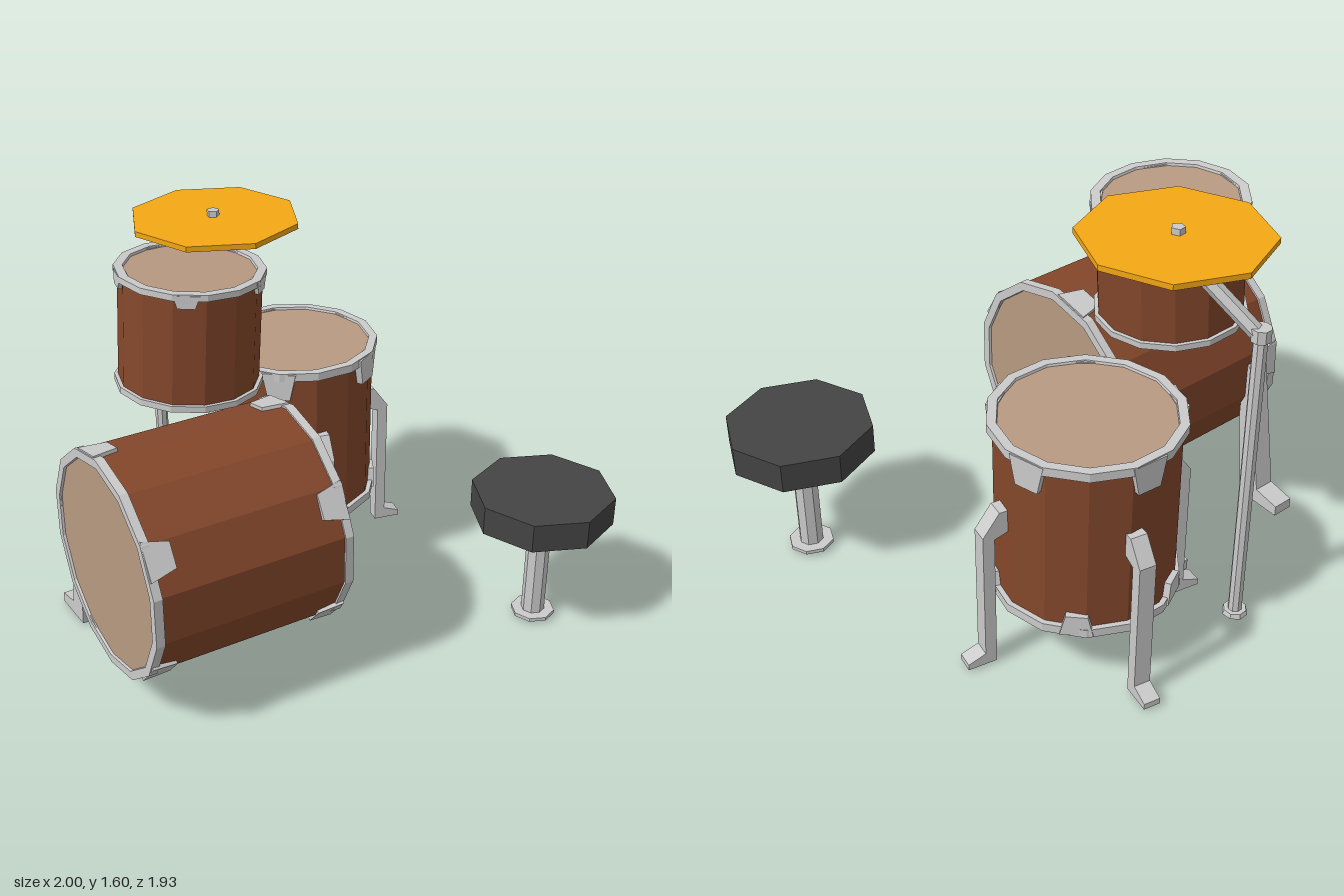
import * as THREE from 'three';

const RAD = Math.PI / 180;
const mat = (color) => new THREE.MeshStandardMaterial({ color, flatShading: true, side: THREE.DoubleSide });
const METAL = mat(0xcccccc);
const WOOD = mat(0x84472b);
const SKIN = mat(0xb89a82);
const BRASS = mat(0xf5a814);
const LEATHER = mat(0x444444);

function add(parent, name, geometry, material, x = 0, y = 0, z = 0) {
  const mesh = new THREE.Mesh(geometry, material);
  mesh.name = name;
  mesh.position.set(x, y, z);
  parent.add(mesh);
  return mesh;
}

function group(parent, name, x = 0, y = 0, z = 0) {
  const g = new THREE.Group();
  g.name = name;
  g.position.set(x, y, z);
  parent.add(g);
  return g;
}

const shapeOf = (pts) => new THREE.Shape(pts.map(([x, y]) => new THREE.Vector2(x, y)));
const cyl = (rTop, rBottom, h, sides) => new THREE.CylinderGeometry(rTop, rBottom, h, sides);

// One end of a drum: hoop, recessed head and five clamps hanging over the shell
function drumEnd(parent, name, { r, shellR, h, hoop, head, clampAngle, clamp }) {
  const end = group(parent, name);
  const top = h / 2;
  const profile = [[shellR - 0.01, top - hoop], [r, top - hoop], [r, top],
    [r - 0.035, top], [r - 0.04, top - 0.02]].map(([x, y]) => new THREE.Vector2(x, y));
  add(end, 'hoop', new THREE.LatheGeometry(profile, 14), METAL);
  add(end, 'head', cyl(r - 0.03, r - 0.03, 0.01, 14), head, 0, top - 0.015, 0);
  if (clamp) {
    const [w, drop] = clamp;
    const geo = new THREE.ExtrudeGeometry(
      shapeOf([[-w / 2, -0.005], [-w * 0.33, -drop], [w * 0.33, -drop], [w / 2, -0.005]]),
      { depth: 0.04, bevelEnabled: false });
    geo.translate(0, top, r - 0.045);
    for (let i = 0; i < 5; i++) {
      add(end, 'clamp', geo, METAL).rotation.y = (clampAngle + i * 72) * RAD;
    }
  }
  return end;
}

// Drum along y, centred on its own origin
function drum(parent, name, o) {
  const g = group(parent, name);
  add(g, 'shell', new THREE.CylinderGeometry(o.shellR, o.shellR, o.h - 0.03, 14, 1, true), WOOD);
  drumEnd(g, 'topEnd', { ...o, head: SKIN, clampAngle: o.topAngle });
  const bottom = drumEnd(g, 'bottomEnd', {
    ...o, head: o.bottomHead, clampAngle: 180 - o.bottomAngle, clamp: o.bottomClamp });
  bottom.rotation.x = Math.PI;
  return g;
}

// Leg cut from a side profile (outward, up), pointing along an angle from +x to +z
function leg(parent, name, profile, width, angle, z = 0) {
  const geo = new THREE.ExtrudeGeometry(shapeOf(profile), { depth: width, bevelEnabled: false });
  geo.translate(0, 0, -width / 2);
  add(parent, name, geo, METAL, 0, 0, z).rotation.y = -angle * RAD;
}

// Straight rod between two points
function rod(parent, name, a, b, radius, sides) {
  const from = new THREE.Vector3(...a), to = new THREE.Vector3(...b);
  const dir = to.clone().sub(from);
  const mesh = add(parent, name, cyl(radius, radius, dir.length(), sides), METAL);
  mesh.position.copy(from).add(to).multiplyScalar(0.5);
  mesh.quaternion.setFromUnitVectors(new THREE.Vector3(0, 1, 0), dir.normalize());
}

export function createModel() {
  const model = new THREE.Group();
  model.name = 'drumKit';

  // Bass drum lying on its side, with two legs on its right
  const bass = group(model, 'bassDrum', -0.21, 0, 0.4);
  bass.rotation.y = -24.3 * RAD;
  const bassBody = drum(bass, 'bassBody', {
    r: 0.45, shellR: 0.442, h: 0.82, hoop: 0.035, bottomHead: SKIN,
    topAngle: 193, bottomAngle: 193, clamp: [0.15, 0.11], bottomClamp: [0.15, 0.11] });
  bassBody.position.y = 0.585;
  bassBody.rotation.x = Math.PI / 2;
  const bassLeg = [[0.41, 0.66], [0.45, 0.62], [0.54, 0.07], [0.65, 0.045], [0.65, 0], [0.45, 0.01], [0.41, 0.4]];
  for (const z of [-0.3, 0.3]) leg(bass, 'bassLeg', bassLeg, 0.09, 180, z);

  // Floor tom on four bent legs
  const floor = group(model, 'floorTom', -0.455, 0, -0.56);
  drum(floor, 'floorTomBody', {
    r: 0.355, shellR: 0.335, h: 0.72, hoop: 0.035, bottomHead: METAL,
    topAngle: 97, bottomAngle: 56, clamp: [0.14, 0.12], bottomClamp: [0.12, 0.09] }).position.y = 0.62;
  const floorLeg = [[0.32, 0.69], [0.36, 0.69], [0.425, 0.6], [0.425, 0.06], [0.495, 0.035],
    [0.495, 0.01], [0.38, 0.01], [0.38, 0.58], [0.32, 0.6]];
  for (let i = 0; i < 4; i++) leg(floor, 'floorTomLeg', floorLeg, 0.065, 36 + i * 90);

  // Small tom, tilted slightly above the bass drum
  const tom = drum(model, 'rackTom', {
    r: 0.29, shellR: 0.275, h: 0.475, hoop: 0.025, bottomHead: METAL,
    topAngle: 36, bottomAngle: 0, clamp: [0.1, 0.055], bottomClamp: null });
  tom.position.set(-0.485, 1.28, 0.09);
  tom.rotation.set(-0.045, 0, -0.03);

  // Cymbal on a stand with an angled arm
  const stand = group(model, 'cymbalStand');
  add(stand, 'standBase', cyl(0.045, 0.05, 0.02, 8), METAL, -0.95, 0.01, -0.25);
  rod(stand, 'standPole', [-0.95, 0.02, -0.25], [-0.95, 1.25, -0.25], 0.027, 8);
  add(stand, 'standJoint', cyl(0.038, 0.038, 0.05, 8), METAL, -0.95, 1.255, -0.25);
  rod(stand, 'standArm', [-0.94, 1.25, -0.25], [-0.64, 1.52, -0.27], 0.03, 6);
  rod(stand, 'standTip', [-0.64, 1.49, -0.27], [-0.64, 1.6, -0.27], 0.026, 5);
  add(stand, 'cymbal', cyl(0.345, 0.345, 0.022, 8), BRASS, -0.635, 1.565, -0.272)
    .rotation.y = 20 * RAD;

  // Stool
  const stool = group(model, 'stool', 0.725, 0, -0.62);
  stool.rotation.y = 20 * RAD;
  add(stool, 'seat', cyl(0.288, 0.288, 0.12, 8), LEATHER, 0, 0.545, 0);
  add(stool, 'seatUnderside', cyl(0.288, 0.06, 0.018, 8), LEATHER, 0, 0.477, 0);
  add(stool, 'stoolPost', cyl(0.048, 0.048, 0.46, 8), METAL, 0, 0.25, 0);
  add(stool, 'stoolBase', cyl(0.09, 0.09, 0.015, 8), METAL, 0, 0.02, 0);

  return model;
}
